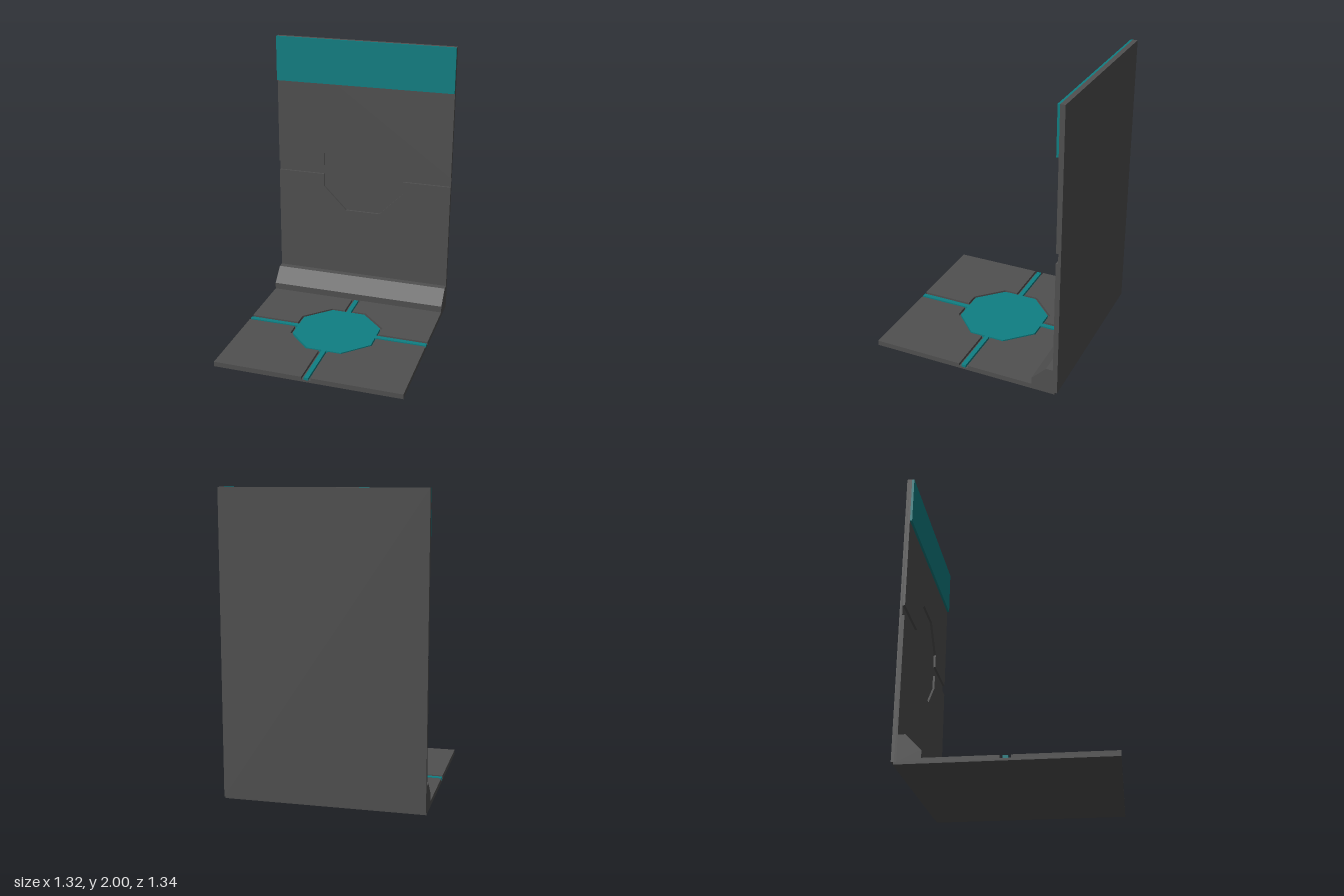
import * as THREE from 'three';

const dark = new THREE.MeshStandardMaterial({ color: 0x505050 });
const teal = new THREE.MeshStandardMaterial({ color: 0x0f7f83 });
const W = 0.66;                          // half width of the stand
const BACK = -0.67, WALL_FRONT = -0.637; // wall planes
const FLOOR_TOP = 0.035, RECESS = 0.015; // floor levels
const CZ = 0.005, CY = 1.012;            // centres of the floor and wall octagons

export function createModel() {
  const model = new THREE.Group();

  const add = (name, geometry, material, parent = model) => {
    const mesh = new THREE.Mesh(geometry, material);
    mesh.name = name;
    parent.add(mesh);
    return mesh;
  };
  const box = (name, x0, x1, y0, y1, z0, z1, material) =>
    add(name, new THREE.BoxGeometry(x1 - x0, y1 - y0, z1 - z0), material)
      .position.set((x0 + x1) / 2, (y0 + y1) / 2, (z0 + z1) / 2);
  const extrude = (points, depth) => new THREE.ExtrudeGeometry(
    new THREE.Shape(points.map(([x, y]) => new THREE.Vector2(x, y))),
    { depth, bevelEnabled: false });
  // Flat plate: outline in x and z, top face at the given height
  const plate = (points, top, thickness) =>
    extrude(points, thickness).rotateX(Math.PI / 2).translate(0, top, 0);
  // One quarter of an octagon with channel arms, from the x arm to the other arm
  const quarter = (arm, half, flat) => [[half, arm], [half, flat], [flat, half], [arm, half]];

  // Floor: base slab with four raised quadrants around the channels
  box('floorBase', -W, W, 0, RECESS, -0.655, 0.67, dark);
  const quadrants = new THREE.Group();
  quadrants.name = 'floorQuadrants';
  model.add(quadrants);
  for (const sx of [1, -1]) for (const sz of [1, -1]) {
    const end = sz > 0 ? 0.665 : 0.642;
    const outline = [[W, 0.033], ...quarter(0.033, 0.306, 0.129), [0.033, end], [W, end]];
    add('floorQuadrant', plate(outline.map(([x, z]) => [sx * x, sz * z + CZ]),
      FLOOR_TOP, FLOOR_TOP - RECESS), dark, quadrants);
  }

  // Coloured octagon inlay with four arms
  const q = quarter(0.016, 0.291, 0.123), r = [...q].reverse();
  const inlay = [
    [W, 0.016], ...q, [0.016, 0.665],
    [-0.016, 0.665], ...r.map(([x, z]) => [-x, z]), [-W, 0.016],
    [-W, -0.016], ...q.map(([x, z]) => [-x, -z]), [-0.016, -0.497],
    [0.016, -0.497], ...r.map(([x, z]) => [x, -z]), [W, -0.016],
  ].map(([x, z]) => [x, z + CZ]);
  add('floorInlay', plate(inlay, 0.033, 0.018), teal);

  // Wall: back slab with two raised halves leaving an octagonal recess
  const recessZ = -0.652;
  box('wallBack', -W, W, RECESS, 2, BACK, recessZ, dark);
  const rim = quarter(0.035, 0.305, 0.13).map(([x, y], i) => [i === 3 ? 0 : x, y]);
  for (const s of [1, -1]) {
    const end = s > 0 ? 2 - CY : CY - RECESS;
    const edge = rim.slice(0, 3).map(([x, y]) => [x, y > 0.3 ? 0.308 : y]);
    const outline = [[W, end], [W, 0.035], ...edge,
      ...[...edge].reverse().map(([x, y]) => [-x, y]), [-W, 0.035], [-W, end]];
    add(s > 0 ? 'wallUpper' : 'wallLower',
      extrude(outline.map(([x, y]) => [x, s * y + CY]), WALL_FRONT - recessZ)
        .translate(0, 0, recessZ), dark);
  }

  // Coloured header strip
  box('headerPanel', -W, W, 1.675, 2, WALL_FRONT, -0.622, teal);

  // Chamfered brace along the foot of the wall (profile in -z and y)
  const brace = [[0.49, RECESS], [0.49, 0.083], [0.59, 0.185], [0.637, 0.185], [0.637, RECESS]];
  add('brace', extrude(brace, 2 * W).rotateY(Math.PI / 2).translate(-W, 0, 0), dark);

  return model;
}
